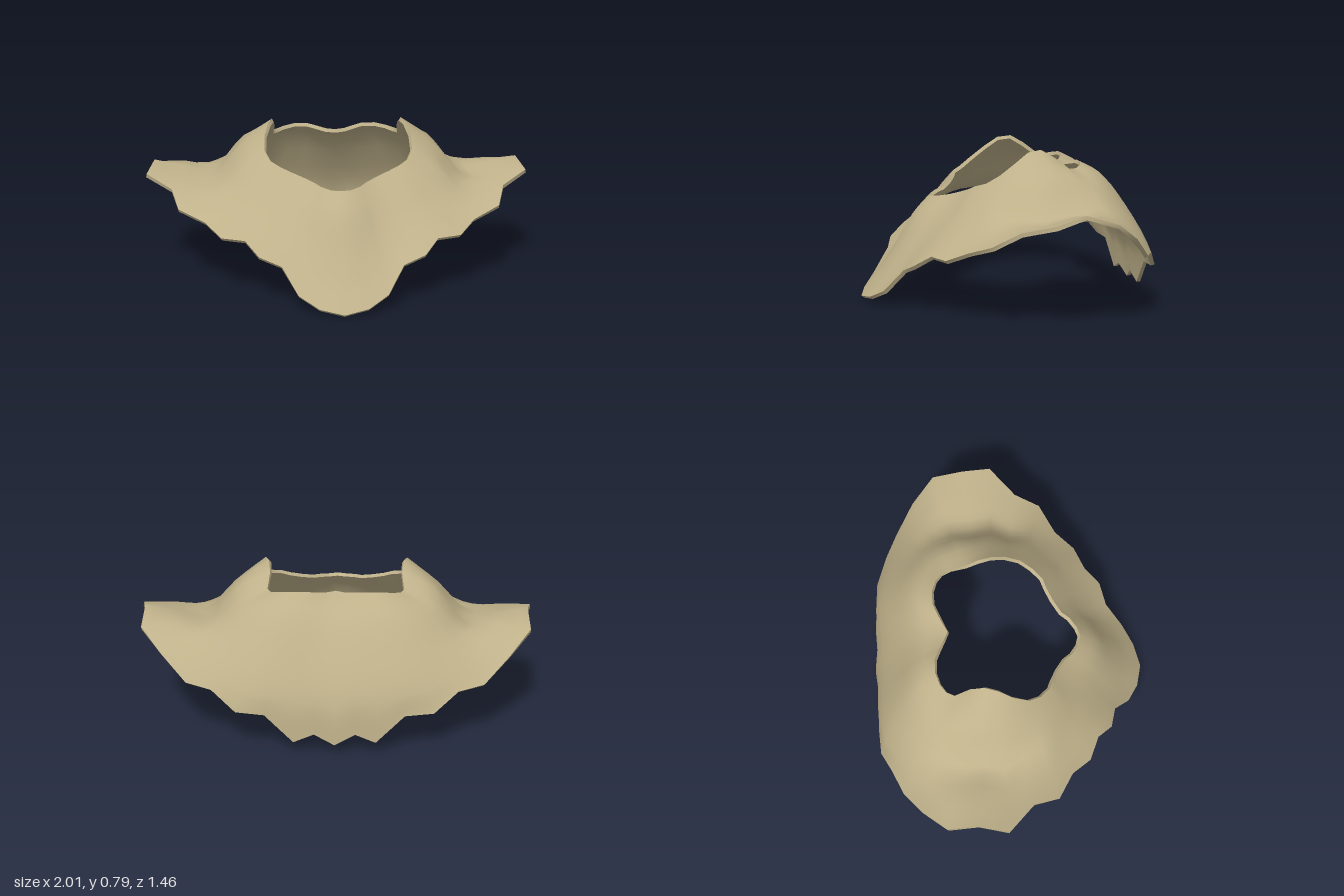
import * as THREE from 'three';

// Half outlines from front centre, round the left side, to back centre: [x, y, z]
const hem = [
  [0, .01, .73], [.12, .03, .7], [.22, .08, .64], [.3, .2, .55], [.41, .24, .52], [.48, .3, .44], [.6, .3, .39],
  [.68, .35, .29], [.82, .4, .21], [.86, .47, .08], [1, .52, -.05], [.97, .56, -.2], [.97, .51, -.36], [.86, .42, -.48],
  [.73, .31, -.58], [.6, .3, -.64], [.48, .21, -.7], [.34, .2, -.71], [.2, .06, -.72], [.1, .1, -.715], [0, .05, -.73],
];
const neck = [
  [0, .53, .37], [.05, .53, .355], [.1, .54, .32], [.13, .55, .28], [.19, .57, .24], [.25, .59, .21], [.3, .61, .19],
  [.35, .63, .14], [.38, .67, .08], [.38, .73, 0], [.36, .78, -.07], [.34, .79, -.14], [.33, .75, -.21], [.34, .69, -.29],
  [.32, .69, -.33], [.28, .7, -.36], [.22, .71, -.38], [.15, .71, -.38], [.1, .7, -.36], [.05, .69, -.335], [0, .69, -.31],
];
// Heights of the cloth at three places between neck and hem
const drape = [
  [.43, .27, .13], [.43, .28, .14], [.44, .31, .19], [.46, .36, .27], [.48, .39, .31], [.51, .43, .36], [.53, .44, .37],
  [.55, .47, .4], [.58, .49, .43], [.62, .49, .47], [.65, .49, .49], [.68, .5, .53], [.68, .51, .52], [.64, .53, .47],
  [.64, .52, .41], [.64, .51, .38], [.645, .5, .32], [.65, .49, .3], [.64, .48, .26], [.64, .48, .27], [.64, .48, .24],
];
const HALF = hem.length - 1, COLS = HALF * 2, ROWS = 12, THICK = 0.02;

// One fold line running from the neck to the hem
function foldLine(j) {
  const k = j <= HALF ? j : COLS - j, side = j <= HALF ? 1 : -1;
  const n = new THREE.Vector3(...neck[k]), h = new THREE.Vector3(...hem[k]);
  const w = THREE.MathUtils.clamp((k - 13) / 4, 0, 1); // the back hangs straighter
  const mids = [.25 + .07 * w, .5 + .15 * w, .75 + .2 * w].map((t, m) => n.clone().lerp(h, t).setY(drape[k][m]));
  const pts = [n, ...mids, h];
  pts.forEach(p => { p.x *= side; });
  return new THREE.CatmullRomCurve3(pts).getPoints(ROWS);
}

// Joins closed loops of points into a surface
function loopSurface(loops, flip) {
  const pos = loops.flat().flatMap(p => [p.x, p.y, p.z]), index = [];
  for (let i = 0; i < loops.length - 1; i++) {
    for (let j = 0; j < COLS; j++) {
      const a = i * COLS + j, b = i * COLS + (j + 1) % COLS, c = a + COLS, d = b + COLS;
      index.push(...(flip ? [a, b, c, b, d, c] : [a, c, b, b, c, d]));
    }
  }
  const geo = new THREE.BufferGeometry();
  geo.setAttribute('position', new THREE.Float32BufferAttribute(pos, 3));
  geo.setIndex(index);
  geo.computeVertexNormals();
  return geo;
}

export function createModel() {
  const group = new THREE.Group();
  group.name = 'shoulderCape';
  const cloth = new THREE.MeshStandardMaterial({ color: 0xbfb18a });
  cloth.name = 'tan cloth';
  const add = (name, geo) => {
    const mesh = new THREE.Mesh(geo, cloth);
    mesh.name = name;
    group.add(mesh);
  };

  const lines = Array.from({ length: COLS }, (_, j) => foldLine(j));
  const outer = Array.from({ length: ROWS + 1 }, (_, i) => lines.map(l => l[i]));
  const outerGeo = loopSurface(outer, false);

  // Lining: the outer cloth moved inward along its normals
  const normals = outerGeo.attributes.normal;
  const inner = outer.map((loop, i) => loop.map((p, j) =>
    p.clone().addScaledVector(new THREE.Vector3().fromBufferAttribute(normals, i * COLS + j), -THICK)));

  add('outerCloth', outerGeo);
  add('lining', loopSurface(inner, true));
  // Thin edges closing the cloth
  add('hemEdge', loopSurface([outer[ROWS], inner[ROWS]], false));
  add('neckEdge', loopSurface([outer[0], inner[0]], true));
  return group;
}
